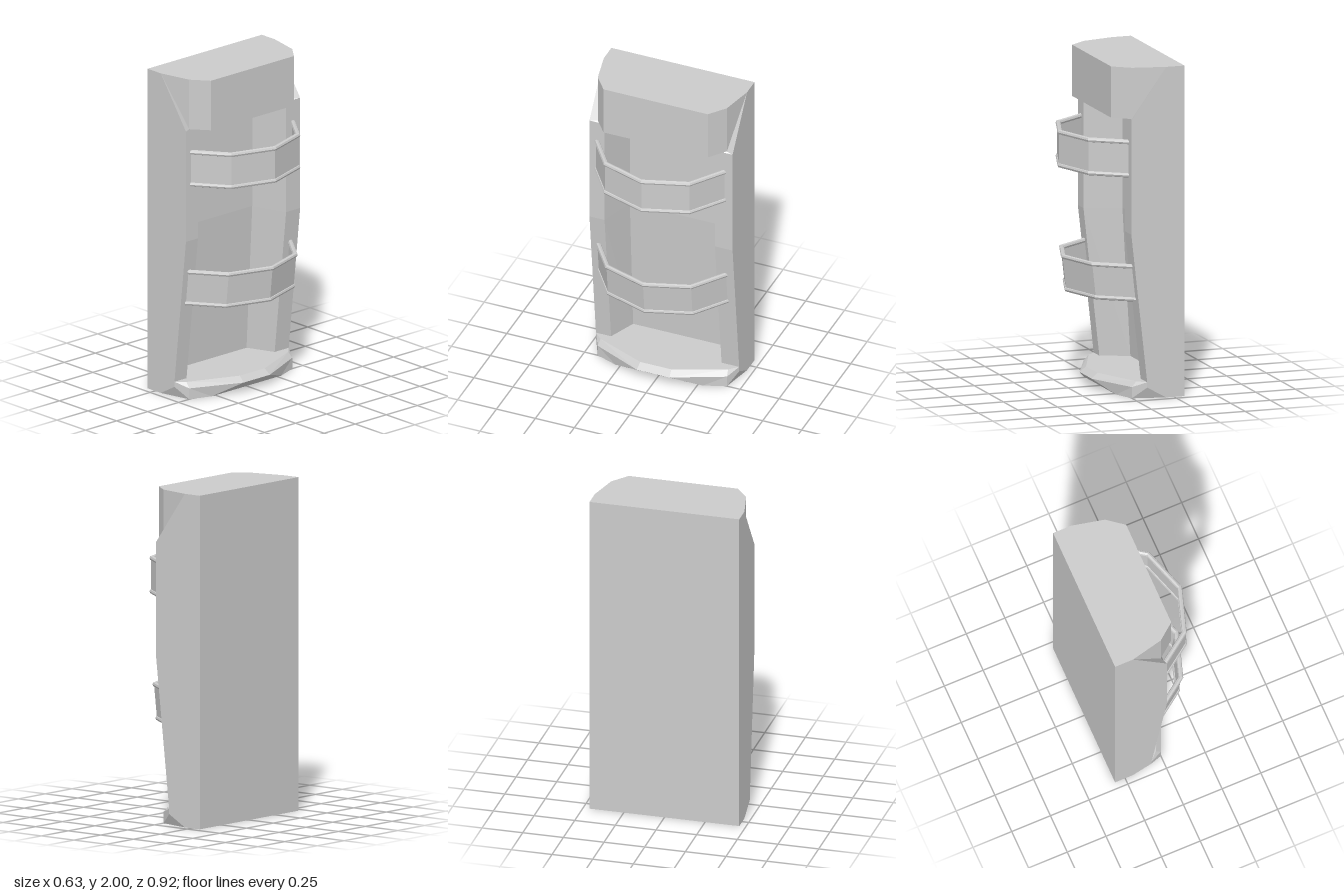
import * as THREE from 'three';

const material = new THREE.MeshStandardMaterial({ color: 0xcccccc, flatShading: true });

// Skins a stack of equal rings; rings run counter-clockwise around the stacking direction.
function loft(name, rings, caps = true) {
  const pos = [];
  const tri = (a, b, c) => pos.push(...a, ...b, ...c);
  const n = rings[0].length;
  for (let r = 0; r < rings.length - 1; r++) {
    const a = rings[r], b = rings[r + 1];
    for (let i = 0; i < n; i++) {
      const j = (i + 1) % n;
      // diagonals are mirrored between the two halves
      if (i < n / 2) { tri(a[i], a[j], b[i]); tri(a[j], b[j], b[i]); }
      else { tri(a[i], a[j], b[j]); tri(a[i], b[j], b[i]); }
    }
  }
  if (caps) {
    const first = rings[0], last = rings[rings.length - 1];
    for (let i = 1; i < n - 1; i++) {
      tri(first[0], first[i + 1], first[i]);
      tri(last[0], last[i], last[i + 1]);
    }
  }
  const geo = new THREE.BufferGeometry();
  geo.setAttribute('position', new THREE.Float32BufferAttribute(pos, 3));
  geo.computeVertexNormals();
  const mesh = new THREE.Mesh(geo, material);
  mesh.name = name;
  return mesh;
}

// Horizontal ring at height y from the [x, z] points of its +z half, mirrored in z.
function symmetricRing(y, half) {
  const left = half.map(([x, z]) => [x, y, z]);
  const right = half.map(([x, z]) => [x, y, -z]).reverse();
  return [...left, ...right];
}

const BACK = -0.315, SIDE = 0.46;

// Front edge of the side walls, which taper back below y = 1
const wallFront = (y) => (y >= 1 ? 0.02 : 0.02 - (0.1 * (1 - y)) / 0.9);

// Hollow body: side walls and a recessed channel between them
function bodyRing(y, recess) {
  const f = wallFront(y);
  return [
    [BACK, SIDE], [f, SIDE], [f, 0.363], [recess, 0.293],
    [recess, -0.277], [f, -0.347], [f, -SIDE], [BACK, -SIDE],
  ].map(([x, z]) => [x, y, z]);
}

// Sweeps a [height, outward] section along a level [x, z] path with mitred corners.
function sweep(name, path, section, y) {
  const normal = (p, q) => new THREE.Vector2(-(q[1] - p[1]), q[0] - p[0]).normalize();
  const rings = path.map((p, i) => {
    const before = normal(path[Math.max(i - 1, 0)], path[Math.max(i, 1)]);
    const k = Math.min(i, path.length - 2);
    const after = normal(path[k], path[k + 1]);
    const m = before.clone().add(after).normalize();
    m.divideScalar(m.dot(after));
    return section.map(([h, out]) => {
      const shift = wallFront(y + h) - 0.02;
      return [p[0] + shift + m.x * out, y + h, p[1] + m.y * out];
    });
  });
  return loft(name, rings);
}

// Strap bowed out in front of the channel, with a round rail on each edge
function createBand(name, y) {
  const band = new THREE.Group();
  band.name = name;
  const path = [[0.012, 0.412], [0.213, 0.268], [0.3, 0], [0.213, -0.268], [0.012, -0.412]]
    .map(([x, z]) => [x, z + 0.005]);
  const h = 0.1, t = 0.006;
  band.add(sweep('strap', path, [[h, -t], [h, t], [-h, t], [-h, -t]], y));
  const round = [];
  for (let i = 0; i < 8; i++) {
    const a = (i / 8) * Math.PI * 2;
    round.push([0.015 * Math.cos(a), 0.015 * Math.sin(a)]);
  }
  band.add(sweep('upperRail', path, round, y + h));
  band.add(sweep('lowerRail', path, round, y - h));
  return band;
}

export function createModel() {
  const model = new THREE.Group();
  model.name = 'wallHolder';

  model.add(loft('body', [bodyRing(0.1, -0.25), bodyRing(1, -0.2), bodyRing(1.69, -0.2)], false));

  // Overhanging head with chamfered corners
  model.add(loft('head', [
    symmetricRing(1.69, [[BACK, SIDE], [0.02, SIDE], [0, 0.415], [0.102, 0.335]]),
    symmetricRing(2, [[BACK, SIDE], [-0.2, SIDE], [0, 0.415], [0.102, 0.335]]),
  ]));

  // Base with a pointed, undercut front lip
  model.add(loft('base', [
    symmetricRing(0, [[BACK, SIDE], [-0.2, SIDE], [0, 0.415], [0.05, 0.28]]),
    symmetricRing(0.068, [[BACK, SIDE], [-0.08, SIDE], [0, 0.415], [0.14, 0.105]]),
    symmetricRing(0.1, [[BACK, SIDE], [-0.08, SIDE], [-0.03, 0.41], [0.1, 0.1]]),
  ]));

  model.add(createBand('upperBand', 1.45));
  model.add(createBand('lowerBand', 0.695));
  return model;
}
